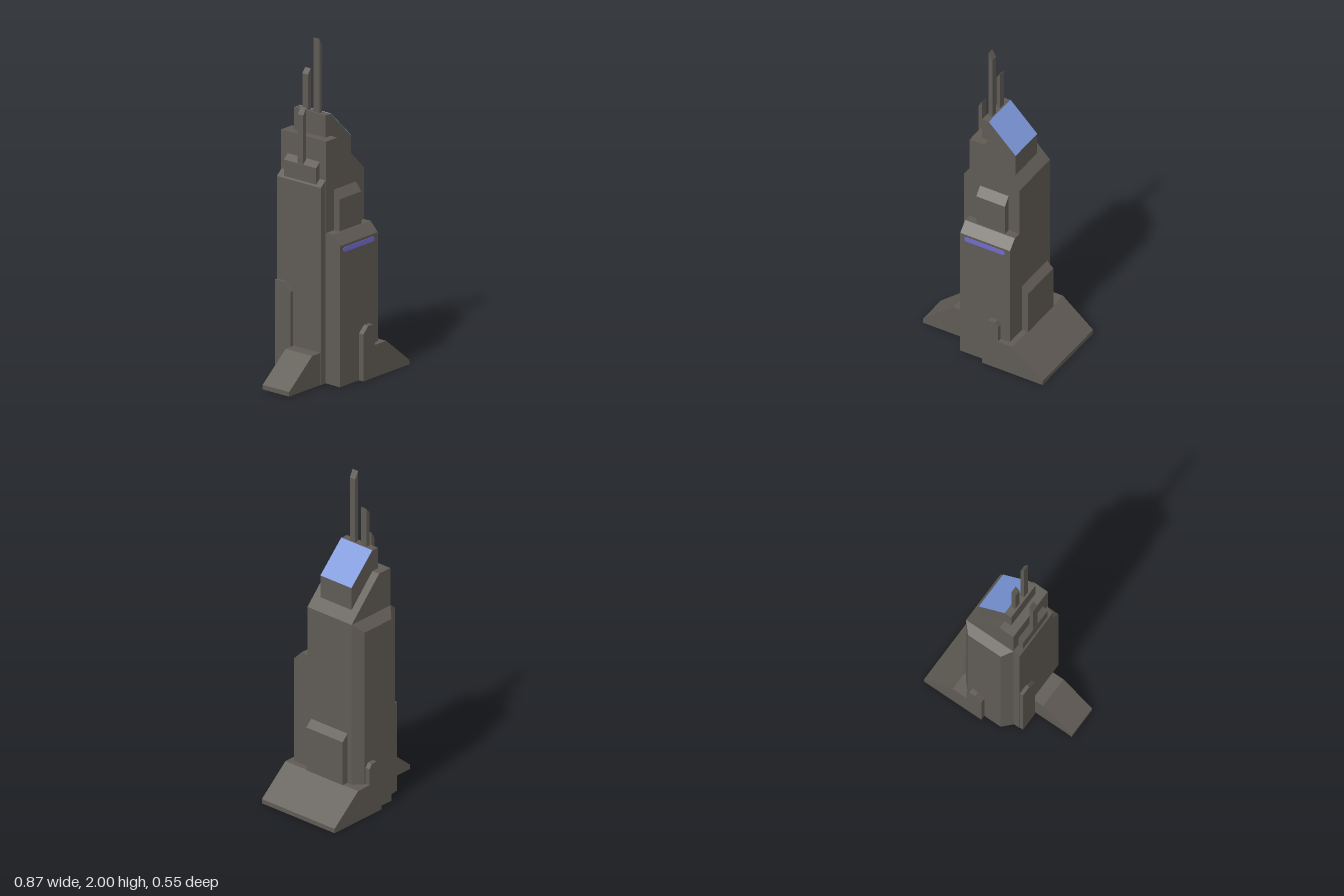
import * as THREE from 'three';

const stone = new THREE.MeshStandardMaterial({ color: 0x5f5a54, side: THREE.DoubleSide });
stone.name = 'stone grey';
const glass = new THREE.MeshStandardMaterial({ color: 0x7b96d8, side: THREE.DoubleSide });
glass.name = 'window blue';
const glow = new THREE.MeshStandardMaterial({ color: 0x6f6acb });
glow.name = 'light violet';

// Extrudes a profile along z from a to b, or along x when axis is 'x' (profile is then z, y)
function prism(points, a, b, axis = 'z') {
  const shape = new THREE.Shape(points.map(([u, v]) => new THREE.Vector2(u, v)));
  const geo = new THREE.ExtrudeGeometry(shape, { depth: b - a, bevelEnabled: false });
  if (axis === 'x') geo.rotateY(-Math.PI / 2).translate(b, 0, 0);
  else geo.translate(0, 0, a);
  return geo;
}

// Leaves the underside open where the part stands on the ground
function openBottom(geo) {
  const p = geo.attributes.position.array;
  const kept = [];
  for (let i = 0; i < p.length; i += 9) {
    if (Math.max(p[i + 1], p[i + 4], p[i + 7]) > 1e-6) kept.push(...p.slice(i, i + 9));
  }
  const out = new THREE.BufferGeometry();
  out.setAttribute('position', new THREE.Float32BufferAttribute(kept, 3));
  out.computeVertexNormals();
  return out;
}

export function createModel() {
  const model = new THREE.Group();
  model.name = 'tower';
  const add = (name, geo, material = stone) => {
    const mesh = new THREE.Mesh(openBottom(geo), material);
    mesh.name = name;
    model.add(mesh);
  };

  // Main shaft with sloping roof
  add('shaft', prism([[-0.125, 0], [0.2, 0], [0.2, 1.195], [-0.03, 1.43], [-0.125, 1.43]], -0.193, 0.14));

  // Back bay: rear corners are pulled inwards
  const bay = prism([[-0.245, 0], [-0.193, 0], [-0.193, 1.195], [-0.245, 1.145]], -0.125, 0.2, 'x');
  const pos = bay.attributes.position;
  for (let i = 0; i < pos.count; i++) {
    if (pos.getZ(i) < -0.22) pos.setX(i, pos.getX(i) > 0 ? 0.15 : -0.075);
  }
  add('backBay', bay);

  // Front bay, raised panel and light strip
  add('frontBay', prism([[0.14, 0], [0.242, 0], [0.242, 0.835], [0.188, 0.89], [0.14, 0.89]], -0.125, 0.2, 'x'));
  add('frontPanel', prism([[0.14, 0.89], [0.18, 0.89], [0.18, 1.08], [0.14, 1.13]], -0.057, 0.13, 'x'));
  const strip = new THREE.Shape();
  strip.absarc(-0.083, 0.806, 0.014, Math.PI / 2, Math.PI * 1.5);
  strip.absarc(0.153, 0.806, 0.014, -Math.PI / 2, Math.PI / 2);
  add('lightStrip', new THREE.ExtrudeGeometry(strip, { depth: 0.005, bevelEnabled: false }).translate(0, 0, 0.241), glow);

  // Upper cabin and its sloping window
  add('cabin', prism([[-0.075, 1.25], [0.145, 1.25], [0.145, 1.388], [-0.03, 1.56], [-0.075, 1.56]], -0.143, 0.09));
  add('slopingWindow', prism([[-0.03, 1.56], [0.145, 1.388], [0.147, 1.39], [-0.028, 1.562]], -0.143, 0.09), glass);

  // Side bay, its upper step and the low buttresses
  add('sideBay', prism([[-0.165, 0], [-0.125, 0], [-0.125, 1.2], [-0.165, 1.165]], -0.19, 0.135));
  add('sideStep', prism([[-0.156, 1.15], [-0.125, 1.15], [-0.125, 1.3], [-0.156, 1.27]], -0.145, 0.092));
  add('sidePillar', prism([[-0.187, 0], [-0.072, 0], [-0.072, 0.51], [-0.125, 0.56], [-0.187, 0.56]], -0.187, -0.165, 'x'));
  add('leftSidePanel', prism([[0.2, 0.19], [0.24, 0.19], [0.24, 0.46], [0.2, 0.5]], -0.162, 0.112));

  // Ground wings
  add('wideWing', prism([[0.038, 0], [0.433, 0], [0.433, 0.027], [0.235, 0.19], [0.14, 0.19], [0.14, 0.29],
    [0.121, 0.317], [0.08, 0.317], [0.038, 0.278]], -0.274, 0.274));
  add('narrowWing', prism([[-0.435, 0], [-0.165, 0], [-0.165, 0.19], [-0.237, 0.19], [-0.435, 0.027]], -0.063, 0.133));

  // Masts: x, z start, base, heights of the two upper corners
  for (const [x, z, base, yLow, yHigh] of [
    [-0.064, -0.005, 1.5, 2, 1.955],
    [-0.064, -0.089, 1.5, 1.77, 1.8],
    [-0.155, -0.045, 1.2, 1.56, 1.6],
  ]) {
    add('mast', prism([[x, base], [x + 0.025, base], [x + 0.025, yHigh], [x, yLow]], z, z + 0.041));
  }
  return model;
}
